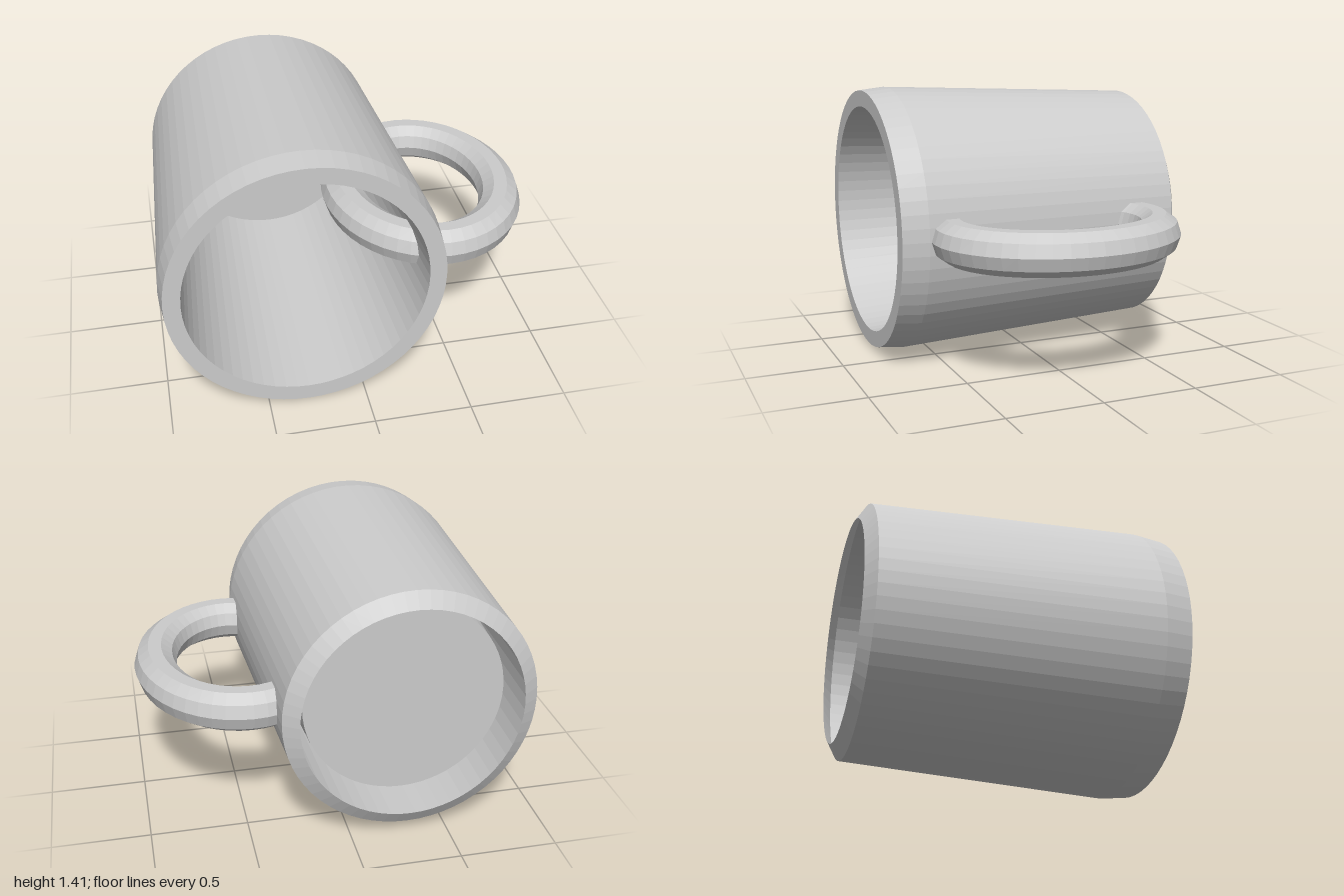
import * as THREE from 'three';

const material = new THREE.MeshStandardMaterial({
  color: 0xcccccc, flatShading: true, side: THREE.DoubleSide,
});

// Mug wall turned as one profile: open foot, outside, lip, inside, floor.
function makeBody() {
  const profile = [
    [0.565, -0.785], [0.645, -0.735], [0.705, 0.65], [0.69, 0.785],
    [0.605, 0.785], [0.52, -0.6], [0, -0.6],
  ].map(([r, z]) => new THREE.Vector2(r, z));
  const geometry = new THREE.LatheGeometry(profile, 64);
  geometry.rotateX(Math.PI / 2); // lay the mug down, mouth to the front
  const body = new THREE.Mesh(geometry, material);
  body.name = 'mugBody';
  body.position.set(-0.295, 0.705, 0);
  return body;
}

// Closed ring that passes through the wall, narrowed to an oval
// without thinning the tube.
function makeHandle() {
  const ringRadius = 0.535, tubeRadius = 0.111, narrowing = 0.111;
  const geometry = new THREE.TorusGeometry(ringRadius, tubeRadius, 10, 48);
  const p = geometry.attributes.position;
  for (let i = 0; i < p.count; i++) {
    const x = p.getX(i), y = p.getY(i);
    p.setX(i, x - narrowing * x / Math.hypot(x, y));
  }
  geometry.rotateX(Math.PI / 2);
  geometry.computeVertexNormals();
  const handle = new THREE.Mesh(geometry, material);
  handle.name = 'handle';
  handle.position.set(0.465, 0.705, 0);
  return handle;
}

export function createModel() {
  const mug = new THREE.Group();
  mug.name = 'mug';
  mug.add(makeBody(), makeHandle());
  return mug;
}
